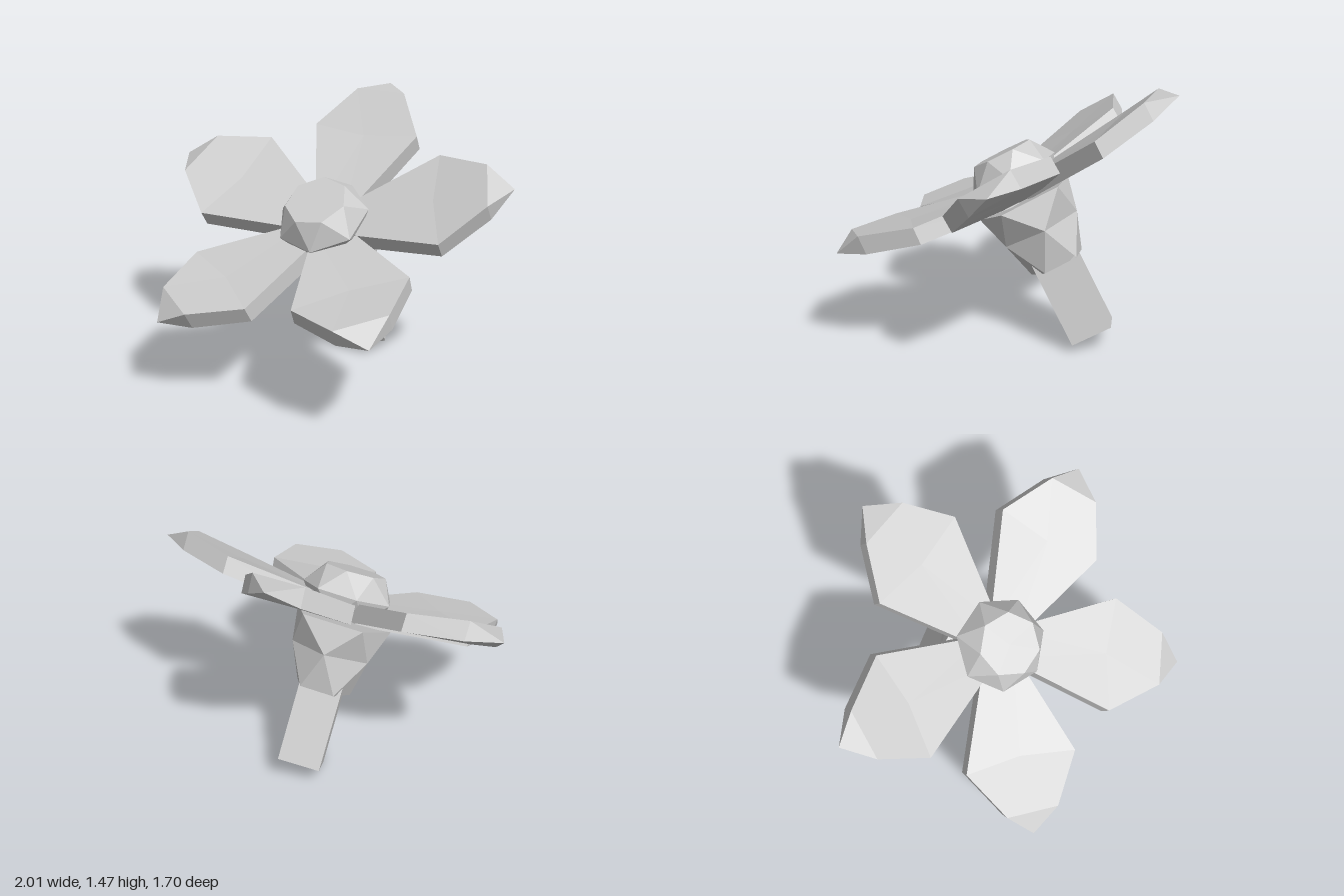
import * as THREE from 'three';

const grey = new THREE.MeshStandardMaterial({ color: 0xcccccc, flatShading: true });
grey.name = 'light grey';

// Turns a list of corner triples into a faceted geometry
function facets(tris) {
  const g = new THREE.BufferGeometry().setFromPoints(tris.flat());
  g.computeVertexNormals();
  return g;
}

// Stack of n-sided rings [radius, y] from top to bottom, every other ring turned half a step
function twistedLoft(rings, n, phase) {
  const step = (Math.PI * 2) / n;
  const at = (j, i) => {
    const a = phase + step * ((i % n) + (j % 2) / 2);
    return new THREE.Vector3(rings[j][0] * Math.sin(a), rings[j][1], rings[j][0] * Math.cos(a));
  };
  const tris = [];
  const last = rings.length - 1;
  const top = new THREE.Vector3(0, rings[0][1], 0);
  const bottom = new THREE.Vector3(0, rings[last][1], 0);
  for (let i = 0; i < n; i++) {
    tris.push([top, at(0, i), at(0, i + 1)], [bottom, at(last, i + 1), at(last, i)]);
    for (let j = 0; j < last; j++) {
      const u0 = at(j, i), u1 = at(j, i + 1), l0 = at(j + 1, i), l1 = at(j + 1, i + 1);
      if (j % 2 === 0) tris.push([u0, l0, u1], [l0, l1, u1]);
      else tris.push([u0, l0, l1], [u0, l1, u1]);
    }
  }
  return facets(tris);
}

// Thick petal pointing along +z, with a bevelled tip
function petalGeometry() {
  const half = [[0.147, 0.925, 0.185, 0.078], [0.315, 0.655, 0.128, 0.03], [0.08, 0.05, 0.05, -0.055]]; // x, z, top, bottom
  const outline = [...half, ...half.map(([x, ...r]) => [-x, ...r]).reverse()];
  const top = outline.map(([x, z, t]) => new THREE.Vector3(x, t, z));
  const low = outline.map(([x, z, , b]) => new THREE.Vector3(x, b, z));
  const topMid = new THREE.Vector3(0, 0.118, 0.62);
  const lowMid = new THREE.Vector3(0, 0.028, 0.62);
  const tip = new THREE.Vector3(0, 0.125, 1.06);
  const tris = [
    [top[5], tip, top[0]], [low[0], tip, low[5]],
    [tip, low[0], top[0]], [top[5], low[5], tip],
  ];
  for (let i = 0; i < 6; i++) {
    const j = (i + 1) % 6;
    tris.push([topMid, top[i], top[j]], [lowMid, low[j], low[i]]);
    if (i < 5) tris.push([top[i], low[i], low[j]], [top[i], low[j], top[j]]);
  }
  return facets(tris);
}

export function createModel() {
  const model = new THREE.Group();
  model.name = 'flower';
  // Whole flower leans forward
  const head = new THREE.Group();
  head.name = 'tiltedFlower';
  head.position.set(0.03, 0.85, 0);
  head.rotation.x = Math.PI / 6;
  model.add(head);

  const add = (name, geometry) => {
    const mesh = new THREE.Mesh(geometry, grey);
    mesh.name = name;
    head.add(mesh);
    return mesh;
  };
  const deg = THREE.MathUtils.degToRad;

  // Five petals, each with its own slight pitch and twist
  const petal = petalGeometry();
  const lean = [[-0.03, -0.11], [0, 0.05], [0.015, 0.05], [-0.025, -0.05], [0.03, 0.1]];
  lean.forEach(([pitch, twist], i) => {
    add('petal' + (i + 1), petal).rotation.set(pitch, deg(42 + 72 * i), twist, 'YXZ');
  });

  // Faceted centre
  add('flowerCentre', twistedLoft([[0.175, 0.23], [0.26, 0.1], [0.19, -0.02]], 7, deg(-12.5)));

  // Cup beneath the petals
  add('calyx', twistedLoft([[0.29, -0.055], [0.23, -0.237], [0.165, -0.457]], 5, deg(18)));

  // Square stem
  const stem = add('stem', new THREE.CylinderGeometry(0.168, 0.168, 0.58, 4));
  stem.position.y = -0.6;
  stem.rotation.y = deg(-21);

  return model;
}
